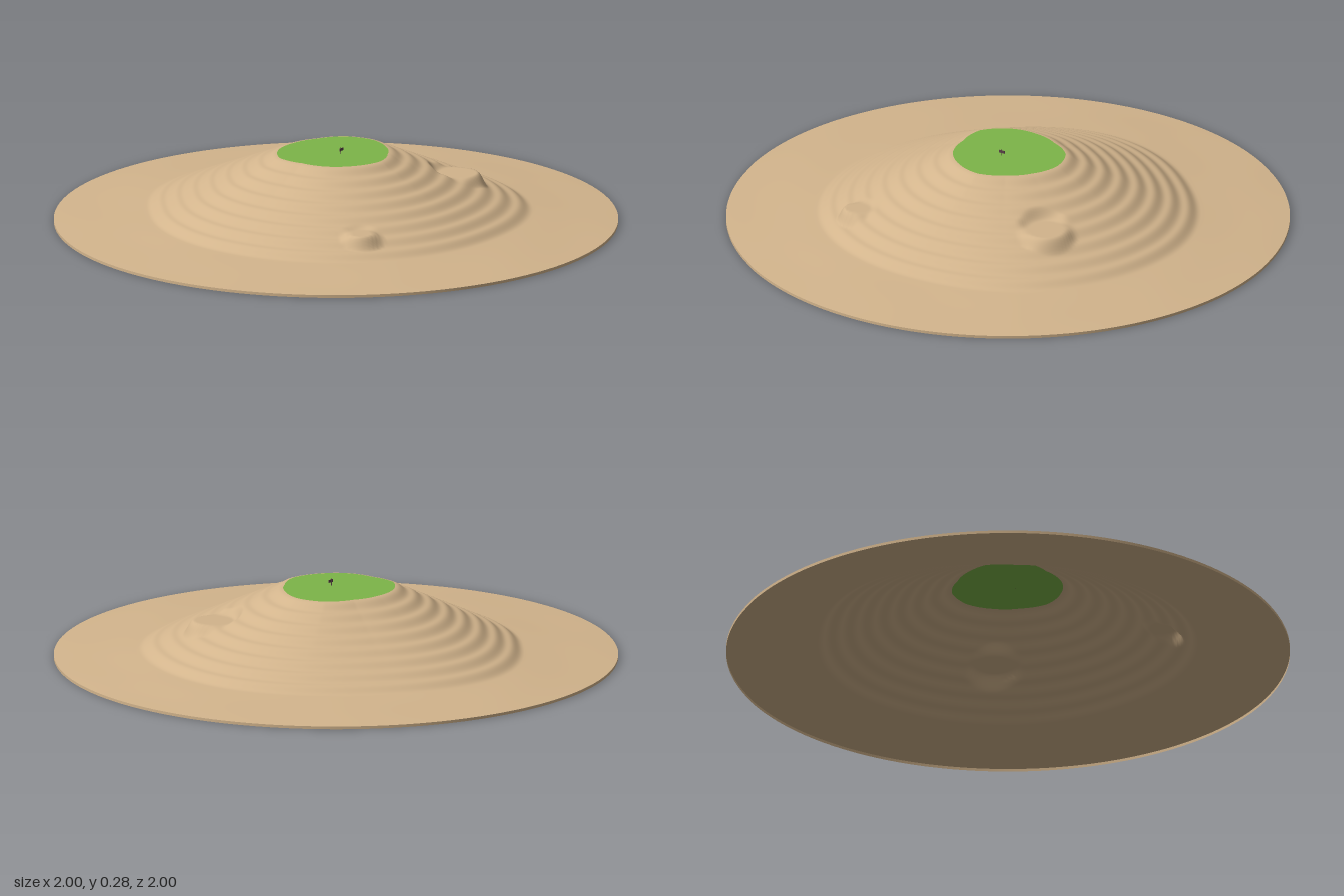
import * as THREE from 'three';

const SEGMENTS = 240;
const TOP = 0.255, FOOT = 0.035, RIM = 0.01, STEPS = 8;

// Outlines as radii at equal angles, running from +x towards +z
const plateauRadii = [0.205, 0.19, 0.185, 0.2, 0.195, 0.195, 0.19, 0.215, 0.205, 0.19, 0.185, 0.205];
const footRadii = [0.7, 0.7, 0.67, 0.68, 0.67, 0.665, 0.72, 0.68];

// Level pads cut into the slope
const pads = [
  { x: 0.34, z: 0.28, y: 0.153, r: 0.07, edge: 0.108 },
  { x: -0.37, z: 0.41, y: 0.108, r: 0.045, edge: 0.075 },
];

function radiusAt(radii, angle, ease) {
  const s = (angle / (Math.PI * 2)) * radii.length;
  const i = Math.floor(s);
  let f = s - i;
  if (ease) f = f * f * (3 - 2 * f);
  return THREE.MathUtils.lerp(radii[i % radii.length], radii[(i + 1) % radii.length], f);
}

// Closed polar surface: point(t, angle) gives [radius, height]
function polarSurface(rings, point) {
  const positions = [], index = [];
  for (let i = 0; i <= rings; i++) {
    for (let j = 0; j < SEGMENTS; j++) {
      const a = (j / SEGMENTS) * Math.PI * 2;
      const [r, y] = point(i / rings, a);
      positions.push(r * Math.cos(a), y, r * Math.sin(a));
      if (i === rings) continue;
      const p = i * SEGMENTS + j, q = i * SEGMENTS + ((j + 1) % SEGMENTS);
      index.push(p, q, p + SEGMENTS, q, q + SEGMENTS, p + SEGMENTS);
    }
  }
  const geometry = new THREE.BufferGeometry();
  geometry.setAttribute('position', new THREE.Float32BufferAttribute(positions, 3));
  geometry.setIndex(index);
  geometry.computeVertexNormals();
  return geometry;
}

// Terraced slope in the first part of t, gentle apron in the rest
function terrainPoint(t, angle) {
  const split = 0.8;
  const inner = radiusAt(plateauRadii, angle, false);
  const foot = radiusAt(footRadii, angle, true);
  let r, y;
  if (t <= split) {
    const k = t / split, s = k * STEPS;
    r = THREE.MathUtils.lerp(inner, foot, k);
    const stepped = (s - (0.7 * Math.sin(s * Math.PI * 2)) / (Math.PI * 2)) / STEPS;
    y = THREE.MathUtils.lerp(TOP, FOOT, stepped);
  } else {
    const k = (t - split) / (1 - split);
    r = THREE.MathUtils.lerp(foot, 1, k);
    const x = r * Math.cos(angle), z = r * Math.sin(angle);
    const ripple = 0.0015 * Math.sin(9 * x + 2) * Math.sin(8 * z + 1) * Math.sin(Math.PI * k);
    y = THREE.MathUtils.lerp(FOOT, RIM, k) + ripple;
  }
  const x = r * Math.cos(angle), z = r * Math.sin(angle);
  for (const pad of pads) {
    const d = Math.hypot(x - pad.x, z - pad.z);
    y = THREE.MathUtils.lerp(pad.y, y, THREE.MathUtils.smoothstep(d, pad.r, pad.edge));
  }
  return [r, y];
}

export function createModel() {
  const group = new THREE.Group();
  const material = (name, color) => {
    const m = new THREE.MeshStandardMaterial({ color, side: THREE.DoubleSide });
    m.name = name;
    return m;
  };
  const sand = material('sand', 0xd2b48c);
  const grass = material('grass', 0x7db548);
  const wood = material('darkWood', 0x5a4048);

  const add = (name, geometry, mat, x = 0, y = 0, z = 0) => {
    const mesh = new THREE.Mesh(geometry, mat);
    mesh.name = name;
    mesh.position.set(x, y, z);
    group.add(mesh);
  };

  // Hill, apron and the thin rim below it
  add('terracedHill', polarSurface(110, terrainPoint), sand);
  add('baseRim', new THREE.CylinderGeometry(1, 1, RIM, SEGMENTS, 1, true), sand, 0, RIM / 2, 0);

  // Flat grassy summit
  add('grassPlateau', polarSurface(1, (t, a) => [t * radiusAt(plateauRadii, a, false), TOP]), grass);

  // Tiny signpost on the summit
  add('signPost', new THREE.CylinderGeometry(0.0015, 0.0015, 0.024, 6), wood, -0.008, TOP + 0.012, 0.028);
  add('signBoard', new THREE.BoxGeometry(0.022, 0.01, 0.002), wood, -0.006, TOP + 0.016, 0.03);

  return group;
}
